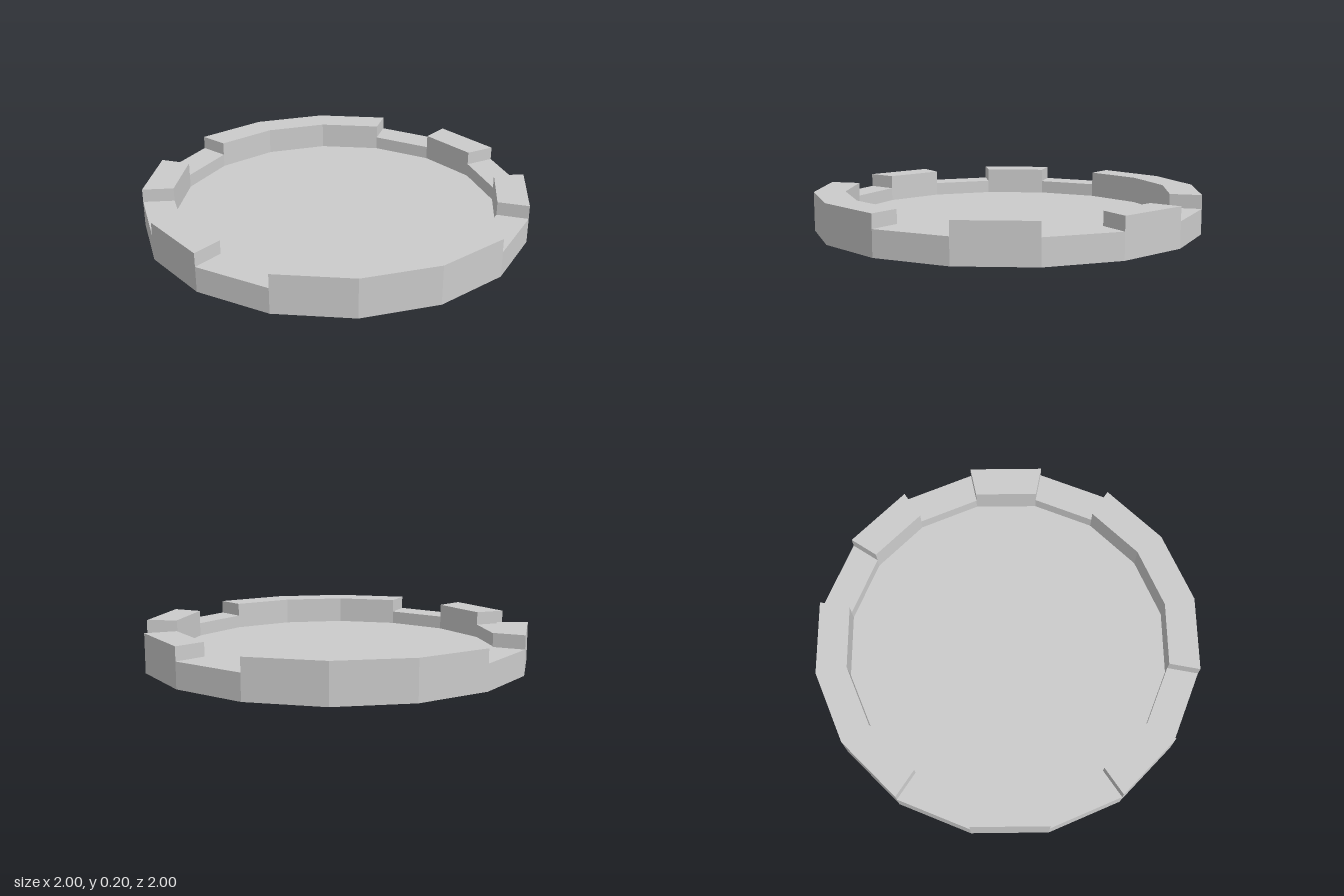
import * as THREE from 'three';

const SIDES = 16, OUTER = 1, INNER = 0.84;
const FLOOR = 0.06, LOW = 0.13, HIGH = 0.2;
const NOTCHES = [1, 5, 7]; // notched rim segments, repeated on the opposite half

// Corner k of the 16-sided outline
const corner = (k, r, y) => {
  const a = (k / SIDES) * Math.PI * 2;
  return [r * Math.cos(a), y, r * Math.sin(a)];
};
const rimHeight = (k) => (NOTCHES.includes(k % (SIDES / 2)) ? LOW : HIGH);

function makeMesh(name, points) {
  const geometry = new THREE.BufferGeometry();
  geometry.setAttribute('position', new THREE.Float32BufferAttribute(points.flat(), 3));
  geometry.computeVertexNormals();
  const mesh = new THREE.Mesh(geometry, new THREE.MeshStandardMaterial({ color: 0xcccccc, flatShading: true }));
  mesh.name = name;
  return mesh;
}

export function createModel() {
  const floor = [], underside = [], rim = [];
  const quad = (a, b, c, d) => rim.push(a, b, c, a, c, d);

  for (let k = 0; k < SIDES; k++) {
    const n = k + 1, h = rimHeight(k), before = rimHeight(k + SIDES - 1);

    // Sunken floor and flat underside
    floor.push([0, FLOOR, 0], corner(n, INNER, FLOOR), corner(k, INNER, FLOOR));
    underside.push([0, 0, 0], corner(k, OUTER, 0), corner(n, OUTER, 0));

    // Rim: outer wall, inner wall, top
    quad(corner(n, OUTER, 0), corner(k, OUTER, 0), corner(k, OUTER, h), corner(n, OUTER, h));
    quad(corner(k, INNER, FLOOR), corner(n, INNER, FLOOR), corner(n, INNER, h), corner(k, INNER, h));
    quad(corner(n, INNER, h), corner(n, OUTER, h), corner(k, OUTER, h), corner(k, INNER, h));

    // Notch side, facing the lower neighbour
    if (h !== before) {
      quad(corner(k, OUTER, before), corner(k, INNER, before), corner(k, INNER, h), corner(k, OUTER, h));
    }
  }

  const group = new THREE.Group();
  group.name = 'notchedTray';
  group.add(makeMesh('floor', floor), makeMesh('underside', underside), makeMesh('notchedRim', rim));
  return group;
}
